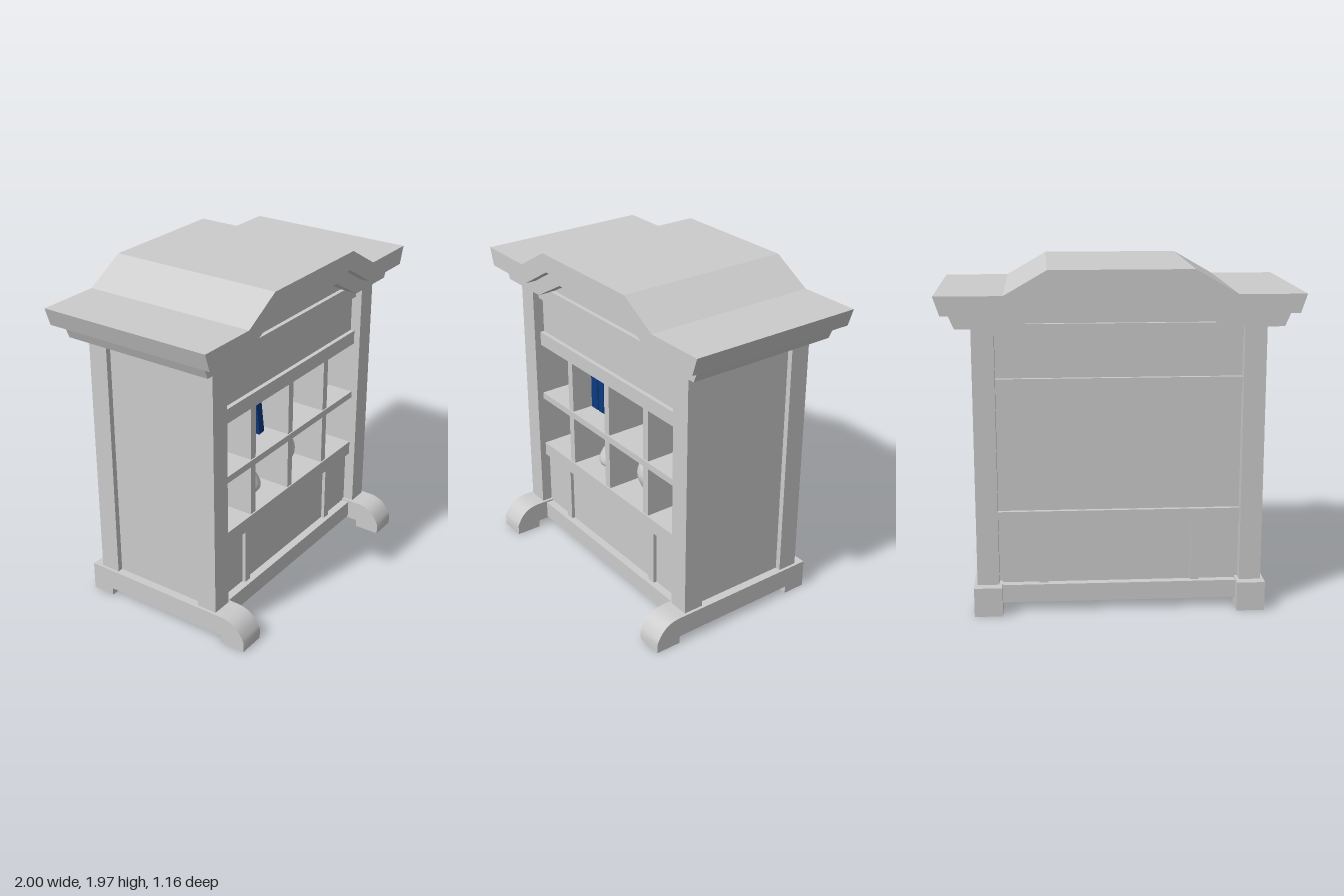
import * as THREE from 'three';
import { toCreasedNormals } from 'three/addons/utils/BufferGeometryUtils.js';

const grey = new THREE.MeshStandardMaterial({ color: 0xcccccc });
const pottery = new THREE.MeshStandardMaterial({ color: 0xcccccc, side: THREE.DoubleSide });
const blue = new THREE.MeshStandardMaterial({ color: 0x0d3a80 });

export function createModel() {
  const model = new THREE.Group();
  model.name = 'displayCabinet';

  const add = (name, geometry, material = grey) => {
    const mesh = new THREE.Mesh(geometry, material);
    mesh.name = name;
    model.add(mesh);
    return mesh;
  };

  // Box given by its limits on each axis
  const box = (name, x0, x1, y0, y1, z0, z1, material) => {
    const mesh = add(name, new THREE.BoxGeometry(x1 - x0, y1 - y0, z1 - z0), material);
    mesh.position.set((x0 + x1) / 2, (y0 + y1) / 2, (z0 + z1) / 2);
    return mesh;
  };

  // Arched cornice layer: right half of the outline, mirrored and extruded in z
  const cornice = (name, half, z0, z1) => {
    const mirrored = half.map(([x, y]) => [-x, y]).reverse();
    const shape = new THREE.Shape([...half, ...mirrored].map(([x, y]) => new THREE.Vector2(x, y)));
    const geometry = new THREE.ExtrudeGeometry(shape, { depth: z1 - z0, bevelEnabled: false });
    add(name, geometry.translate(0, 0, z0));
  };
  cornice('upperCornice', [[0.365, 1.865], [0.595, 1.73], [0.965, 1.73], [1, 1.835],
    [0.63, 1.835], [0.395, 1.97]], -0.58, 0.475);
  cornice('lowerCornice', [[0.33, 1.78], [0.565, 1.65], [0.895, 1.65], [0.93, 1.73],
    [0.595, 1.73], [0.365, 1.865]], -0.515, 0.41);

  // Side runners with scrolled front feet
  const foot = new THREE.Shape();
  foot.moveTo(-0.51, 0);
  foot.lineTo(-0.37, 0);
  foot.lineTo(-0.37, 0.045);
  foot.lineTo(0.425, 0.045);
  foot.lineTo(0.425, 0);
  foot.lineTo(0.58, 0);
  foot.lineTo(0.58, 0.06);
  foot.bezierCurveTo(0.55, 0.13, 0.51, 0.17, 0.42, 0.17);
  foot.lineTo(-0.51, 0.17);
  const runner = toCreasedNormals(
    new THREE.ExtrudeGeometry(foot, { depth: 0.16, bevelEnabled: false, curveSegments: 10 })
      .rotateY(-Math.PI / 2).translate(0.08, 0, 0), 0.6);

  for (const [side, s] of [['left', 1], ['right', -1]]) {
    add(side + 'Runner', runner).position.x = s * 0.75;
    const span = (a, b) => (s > 0 ? [a, b] : [-b, -a]);
    box(side + 'FrontPost', ...span(0.688, 0.812), 0.16, 1.67, 0.255, 0.377);
    box(side + 'BackPost', ...span(0.688, 0.812), 0.16, 1.67, -0.453, -0.333);
    box(side + 'Panel', ...span(0.69, 0.78), 0.15, 1.67, -0.4, 0.32);
  }

  // Floor of the body and panels behind the framing
  box('bottomBoard', -0.69, 0.69, 0.055, 0.1, -0.42, 0.355);
  box('backPanel', -0.7, 0.7, 0.07, 1.79, -0.39, -0.37);
  box('lowerFrontPanel', -0.7, 0.7, 0.07, 0.55, 0.28, 0.312);
  box('upperFrontPanel', -0.7, 0.7, 1.3, 1.79, 0.28, 0.312);

  // Framing on both faces: plinth, rails and short stiles
  for (const [face, zIn, zOut, zPlinth] of [['front', 0.29, 0.338, 0.36], ['back', -0.385, -0.415, -0.437]]) {
    const lo = Math.min(zIn, zOut), hi = Math.max(zIn, zOut);
    box(face + 'Plinth', -0.69, 0.69, 0.055, 0.16, Math.min(zIn, zPlinth), Math.max(zIn, zPlinth));
    for (const [name, y0, y1] of [['LowerRail', 0.505, 0.59], ['MiddleRail', 1.27, 1.355], ['TopRail', 1.575, 1.66]])
      box(face + name, -0.69, 0.69, y0, y1, lo, hi);
    for (const x of [-0.435, 0.435])
      box(face + 'Stile', x - 0.025, x + 0.025, 0.15, 0.51, lo + 0.005, hi - 0.005);
  }

  // Open compartments
  box('compartmentFloor', -0.69, 0.69, 0.55, 0.59, -0.37, 0.33);
  box('compartmentCeiling', -0.69, 0.69, 1.27, 1.31, -0.37, 0.33);
  box('shelf', -0.69, 0.69, 0.905, 0.945, -0.37, 0.338);
  for (const x of [-0.378, 0, 0.378])
    box('divider', x - 0.023, x + 0.023, 0.58, 1.28, -0.37, 0.33);

  // Pottery turned from a smooth outline, with an inner wall
  const pot = (name, x, y, z, outer, inner) => {
    const curve = new THREE.SplineCurve(outer.map((p) => new THREE.Vector2(...p))).getPoints(16);
    const points = [new THREE.Vector2(0, outer[0][1]), ...curve, ...inner.map((p) => new THREE.Vector2(...p))];
    const geometry = toCreasedNormals(new THREE.LatheGeometry(points, 28), 0.7);
    add(name, geometry, pottery).position.set(x, y, z);
  };
  pot('roundBowl', -0.54, 0.945, 0.06,
    [[0.06, 0], [0.095, 0.025], [0.117, 0.075], [0.116, 0.115], [0.108, 0.14]],
    [[0.098, 0.138], [0.103, 0.08], [0.07, 0.02], [0, 0.015]]);
  pot('footedBowl', 0.537, 0.945, 0.12,
    [[0.055, 0], [0.052, 0.015], [0.09, 0.045], [0.103, 0.09], [0.105, 0.143]],
    [[0.095, 0.143], [0.092, 0.09], [0.06, 0.04], [0, 0.03]]);
  pot('vase', -0.197, 0.59, 0.14,
    [[0.065, 0], [0.092, 0.025], [0.097, 0.055], [0.075, 0.105], [0.035, 0.17], [0.021, 0.2], [0.032, 0.226]],
    [[0.026, 0.226], [0.015, 0.2], [0.03, 0.16], [0, 0.1]]);
  pot('largeBowl', 0.187, 0.59, 0.09,
    [[0.075, 0], [0.108, 0.03], [0.13, 0.09], [0.125, 0.14], [0.108, 0.175]],
    [[0.098, 0.172], [0.115, 0.1], [0.08, 0.025], [0, 0.015]]);

  // Three upright books and one leaning against them
  for (const [x0, x1, top] of [[-0.35, -0.285, 1.245], [-0.276, -0.226, 1.235], [-0.222, -0.177, 1.235]])
    box('book', x0, x1, 0.945, top, 0, 0.2, blue);
  const leaning = box('leaningBook', -0.148, -0.1, 0.949, 1.208, 0, 0.2, blue);
  leaning.position.x = -0.123;
  leaning.rotation.z = 0.15;

  return model;
}
